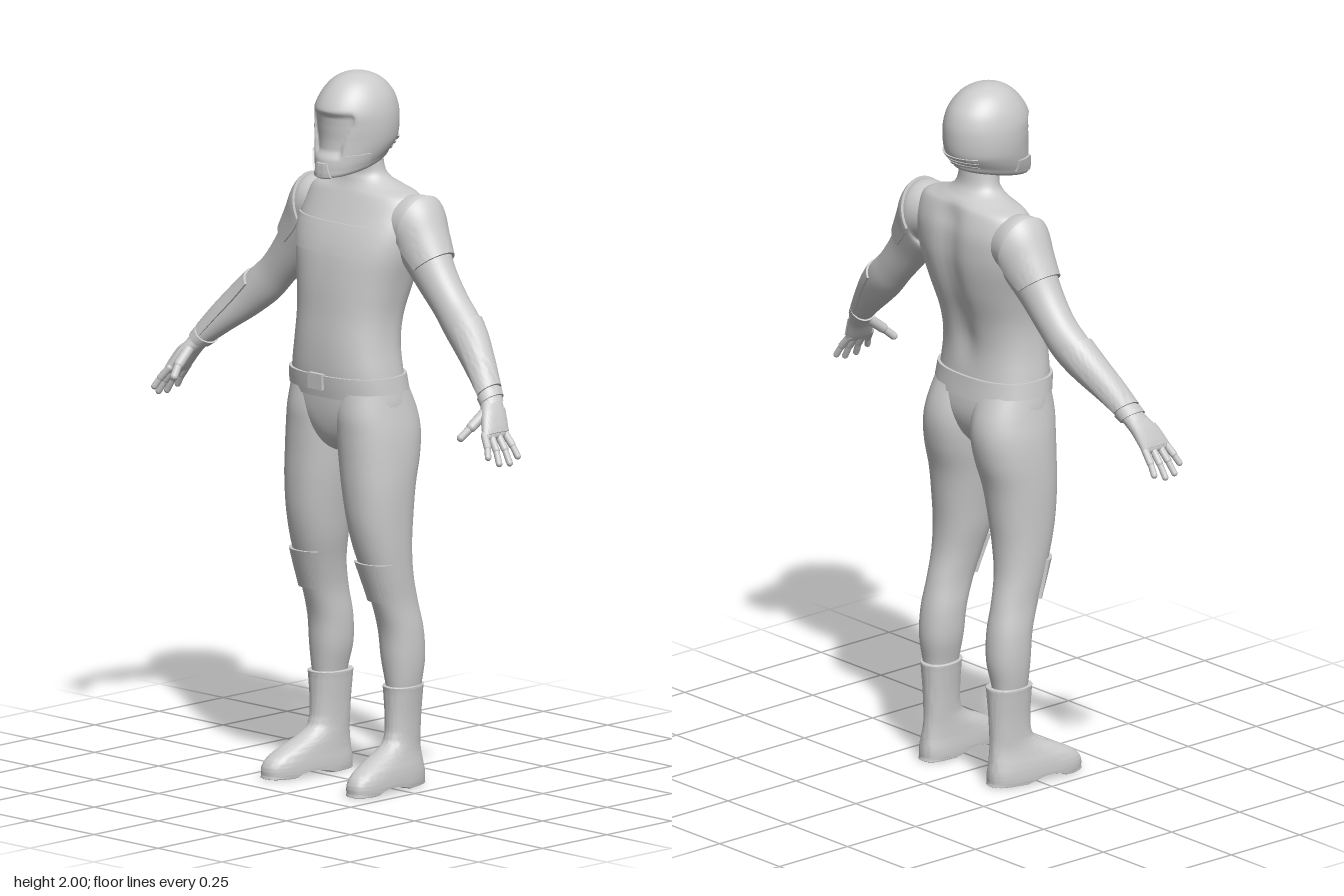
import * as THREE from 'three';
import { toCreasedNormals, mergeVertices } from 'three/addons/utils/BufferGeometryUtils.js';

const material = new THREE.MeshStandardMaterial({ color: 0xcccccc });
const { lerp, smoothstep, degToRad } = THREE.MathUtils;

// Section: [x, y, z, half width, half depth, roll in degrees, squareness]
const level = (y, x0, x1, zf, zb, n = 2.2) => [(x0 + x1) / 2, y, (zf + zb) / 2, (x1 - x0) / 2, (zf - zb) / 2, 0, n];
const centred = (y, w, zf, zb, n) => level(y, -w, w, zf, zb, n);

// Smooth skin through sections listed from top to bottom; angle 0 is the front, d is an offset
function skin(sections, rule = () => {}) {
  const last = sections.length - 1;
  const at = (i) => sections[Math.min(last, Math.max(0, i))];
  const f = (t, a, d = 0) => {
    const i = Math.min(last - 1, Math.floor(t)), k = t - i;
    const [x, y, z, w, depth, roll, n] = at(i).map((p1, c) => {
      const p0 = at(i - 1)[c], p2 = at(i + 1)[c], p3 = at(i + 2)[c];
      return p1 + 0.5 * k * (p2 - p0 + k * (2 * p0 - 5 * p1 + 4 * p2 - p3 + k * (3 * (p1 - p2) + p3 - p0)));
    });
    const power = (v) => Math.sign(v) * Math.abs(v) ** (2 / n);
    const u = power(Math.sin(a)) * (Math.max(0.001, w) + d);
    const r = degToRad(roll);
    const p = new THREE.Vector3(x + u * Math.cos(r), y + u * Math.sin(r),
      z + power(Math.cos(a)) * (Math.max(0.001, depth) + d));
    rule(p);
    return p;
  };
  f.last = last;
  return f;
}

function gridGeometry(rows, closed) {
  const cols = rows[0].length, index = [];
  for (let i = 0; i < rows.length - 1; i++) {
    for (let j = 0; j < (closed ? cols : cols - 1); j++) {
      const k = (j + 1) % cols, a = i * cols + j, b = a + cols, c = (i + 1) * cols + k, d = i * cols + k;
      index.push(a, b, c, a, c, d);
    }
  }
  const g = new THREE.BufferGeometry().setFromPoints(rows.flat());
  g.setIndex(index);
  g.computeVertexNormals();
  return g;
}

function body(f, cols = 48, steps = 5) {
  const rows = Array.from({ length: f.last * steps + 1 }, (_, i) =>
    Array.from({ length: cols }, (_, j) => f(i / steps, (j / cols) * Math.PI * 2)));
  return gridGeometry(rows, true);
}

// Raised plate following a skin, its rim sunk below the surface
function plate(f, t0, t1, centre, half0, half1, d, nu = 10, nv = 28) {
  const steps = (n) => [0, ...Array.from({ length: n + 1 }, (_, i) => i / n), 1];
  const us = steps(nu), vs = steps(nv);
  const rows = us.map((u, i) => vs.map((v, j) => {
    const rim = i === 0 || j === 0 || i === us.length - 1 || j === vs.length - 1;
    return f(lerp(t0, t1, u), centre + (2 * v - 1) * lerp(half0, half1, u), rim ? -0.004 : d);
  }));
  return toCreasedNormals(gridGeometry(rows, false), 0.7);
}

function capsule(p, q, r) {
  const a = new THREE.Vector3(...p), b = new THREE.Vector3(...q), dir = b.clone().sub(a);
  const g = new THREE.CapsuleGeometry(r, dir.length(), 5, 12);
  g.applyQuaternion(new THREE.Quaternion().setFromUnitVectors(new THREE.Vector3(0, 1, 0), dir.normalize()));
  return g.translate(...a.add(b).multiplyScalar(0.5).toArray());
}

function mirrored(geometry) {
  const g = mergeVertices(geometry.clone().scale(-1, 1, 1));
  g.setIndex(Array.from(g.index.array).reverse());
  return g;
}

export function createModel() {
  const model = new THREE.Group();
  const add = (name, geometry) => {
    const mesh = new THREE.Mesh(geometry, material);
    mesh.name = name;
    model.add(mesh);
  };
  const pair = (name, geometry) => {
    add(name + 'Left', geometry);
    add(name + 'Right', mirrored(geometry));
  };

  // Torso and neck, with a groove along the spine
  const torso = skin([
    centred(1.80, 0.062, 0.02, -0.095, 2), centred(1.73, 0.066, 0.0, -0.10, 2),
    centred(1.70, 0.085, 0.006, -0.115, 2), centred(1.68, 0.13, 0.015, -0.138, 2),
    centred(1.66, 0.185, 0.026, -0.15, 2.2), centred(1.61, 0.2, 0.052, -0.166, 2.4),
    centred(1.56, 0.204, 0.077, -0.17, 2.4), centred(1.50, 0.195, 0.098, -0.166, 2.4),
    centred(1.42, 0.174, 0.112, -0.148, 2.4), centred(1.33, 0.158, 0.12, -0.118, 2.4),
    centred(1.25, 0.159, 0.127, -0.103, 2.4), centred(1.17, 0.17, 0.128, -0.105, 2.4),
    centred(1.10, 0.178, 0.12, -0.115, 2.4),
  ], (p) => {
    if (p.z < -0.04) {
      const fade = smoothstep(p.y, 1.16, 1.3) * (1 - smoothstep(p.y, 1.62, 1.7));
      p.z += 0.016 * Math.exp(-((p.x / 0.04) ** 2)) * fade;
    }
  });
  add('torso', body(torso, 64));
  add('chestPlate', plate(torso, 5.5, 7, 0, 0.98, 0.72, 0.005));
  add('belt', plate(torso, 11.07, 11.64, 0, Math.PI, Math.PI, 0.008, 3, 64));
  add('buckle', new THREE.BoxGeometry(0.055, 0.044, 0.02).translate(0, 1.147, 0.132));
  add('pelvis', body(skin([
    centred(1.14, 0.174, 0.12, -0.107, 2.3), centred(1.06, 0.182, 0.117, -0.115, 2.3),
    centred(1.00, 0.14, 0.105, -0.10, 2), centred(0.96, 0.07, 0.082, -0.07, 2),
    centred(0.94, 0.03, 0.05, -0.04, 2), centred(0.935, 0.001, 0.001, -0.001, 2),
  ])));

  // Helmet with sunken visor and lowered chin
  const helmet = skin([
    centred(2.0, 0.001, -0.019, -0.021, 2), centred(1.994, 0.033, 0.018, -0.06, 2),
    centred(1.975, 0.065, 0.055, -0.1, 2), centred(1.94, 0.09, 0.088, -0.134, 2),
    centred(1.90, 0.103, 0.108, -0.15, 2), centred(1.86, 0.106, 0.107, -0.153, 2),
    centred(1.82, 0.103, 0.105, -0.149, 2), centred(1.79, 0.096, 0.108, -0.138, 2),
    centred(1.765, 0.085, 0.113, -0.127, 2), centred(1.745, 0.07, 0.108, -0.116, 2),
    centred(1.74, 0.03, 0.05, -0.06, 2), centred(1.74, 0.001, 0.0, -0.002, 2),
  ], (p) => {
    if (p.z > 0) {
      const half = lerp(0.052, 0.082, smoothstep(p.y, 1.78, 1.88));
      const inside = 1 - smoothstep(Math.abs(p.x), half - 0.012, half);
      p.z -= 0.014 * inside * smoothstep(p.y, 1.782, 1.797) * (1 - smoothstep(p.y, 1.885, 1.905));
    }
    p.y -= 0.22 * (p.z + 0.02) * (1 - smoothstep(p.y, 1.745, 1.82));
  });
  add('helmet', body(helmet, 80, 7));
  add('chinGuard', plate(helmet, 7.5, 8.9, 0, 0.2, 0.42, 0.007));
  pair('jawPlate', plate(helmet, 7.0, 8.3, 1.0, 0.32, 0.42, 0.006));
  for (const t of [6.3, 7.05, 7.8]) add('rearVent', plate(helmet, t, t + 0.5, Math.PI, 0.75, 0.65, 0.006, 3));

  // Arms
  const arm = skin([
    [0.14, 1.585, -0.062, 0.078, 0.075, 85, 2], [0.2, 1.583, -0.066, 0.088, 0.08, 75, 2],
    [0.226, 1.526, -0.063, 0.075, 0.07, 45, 2], [0.275, 1.455, -0.058, 0.062, 0.057, 38, 2],
    [0.335, 1.385, -0.056, 0.055, 0.051, 42, 2], [0.385, 1.335, -0.05, 0.057, 0.051, 46, 2],
    [0.44, 1.285, -0.035, 0.052, 0.047, 48, 2], [0.5, 1.23, -0.011, 0.041, 0.041, 48, 2],
    [0.55, 1.18, 0.01, 0.03, 0.036, 45, 2], [0.58, 1.15, 0.022, 0.023, 0.035, 40, 2],
  ]);
  pair('arm', body(arm, 36));
  pair('shoulderPad', plate(arm, 1.05, 2.65, Math.PI / 2, 1.95, 1.6, 0.008));
  pair('forearmGuard', plate(arm, 5.2, 7.95, Math.PI / 2, 1.3, 1.75, 0.006, 16));
  pair('wristCuff', plate(arm, 8.05, 8.5, 0, Math.PI, Math.PI, 0.005, 3));

  // Hands
  const palm = skin([
    [0.562, 1.167, 0.015, 0.022, 0.034, 40, 2.3], [0.59, 1.13, 0.036, 0.02, 0.041, 34, 2.4],
    [0.613, 1.09, 0.051, 0.016, 0.046, 32, 2.4], [0.622, 1.072, 0.056, 0.011, 0.045, 30, 2.4],
    [0.625, 1.067, 0.057, 0.001, 0.02, 30, 2],
  ]);
  pair('palm', body(palm, 28));
  pair('handPlate', plate(palm, 0.9, 2.5, Math.PI / 2, 0.9, 1.0, 0.004));
  const fingers = [[0.018, 0.012, 0.664, 1.018], [0.044, 0.048, 0.669, 1.005],
    [0.07, 0.085, 0.665, 1.008], [0.093, 0.115, 0.652, 1.028]];
  for (const [z0, z1, x, y] of fingers) {
    const middle = [lerp(0.618, x, 0.52) + 0.003, lerp(1.078, y, 0.5), (z0 + z1) / 2];
    pair('fingerBase', capsule([0.616, 1.082, z0], middle, 0.0105));
    pair('fingerTip', capsule(middle, [x, y, z1], 0.009));
  }
  pair('thumbBase', capsule([0.578, 1.135, 0.055], [0.572, 1.1, 0.1], 0.0145));
  pair('thumbTip', capsule([0.572, 1.1, 0.1], [0.56, 1.072, 0.13], 0.011));

  // Legs
  const leg = skin([
    level(1.13, 0.0, 0.174, 0.108, -0.1), level(1.06, 0.0, 0.187, 0.118, -0.128),
    level(1.0, 0.0, 0.197, 0.116, -0.136), level(0.93, 0.007, 0.202, 0.113, -0.126),
    level(0.85, 0.02, 0.203, 0.11, -0.104), level(0.76, 0.036, 0.2, 0.102, -0.092),
    level(0.68, 0.05, 0.197, 0.085, -0.085), level(0.6, 0.068, 0.193, 0.06, -0.088),
    level(0.52, 0.08, 0.19, 0.033, -0.105), level(0.44, 0.08, 0.195, 0.008, -0.122),
    level(0.36, 0.085, 0.195, 0.0, -0.127), level(0.29, 0.1, 0.188, -0.008, -0.116),
    level(0.24, 0.11, 0.178, -0.015, -0.11),
  ]);
  pair('leg', body(leg, 44));
  pair('kneePad', plate(leg, 6.5, 7.9, 0.15, 0.95, 0.75, 0.009));

  // Boots, toes turned slightly out, with a raised arch under the sole
  const boot = skin([
    level(0.283, 0.112, 0.184, -0.012, -0.114), level(0.284, 0.098, 0.197, 0.003, -0.127),
    level(0.27, 0.099, 0.196, 0.002, -0.127), level(0.2, 0.106, 0.189, 0.0, -0.123),
    level(0.14, 0.109, 0.187, 0.006, -0.121), level(0.11, 0.108, 0.189, 0.04, -0.122),
    level(0.085, 0.106, 0.194, 0.095, -0.124, 2.4), level(0.06, 0.104, 0.2, 0.143, -0.127, 2.6),
    level(0.035, 0.102, 0.203, 0.164, -0.13, 2.8), level(0.01, 0.102, 0.203, 0.166, -0.13, 2.8),
    level(0.0, 0.106, 0.199, 0.16, -0.126, 2.8), level(0.0, 0.14, 0.165, 0.08, -0.06, 2.8),
    level(0.0, 0.152, 0.153, 0.011, 0.009, 2),
  ], (p) => {
    p.x += 0.09 * p.z;
    p.y = Math.max(0, p.y);
    if (p.y < 0.02) p.y += 0.014 * smoothstep(p.z, -0.03, 0.0) * (1 - smoothstep(p.z, 0.06, 0.1)) * (1 - p.y / 0.02);
  });
  pair('boot', toCreasedNormals(body(boot, 48), 0.9));

  return model;
}
